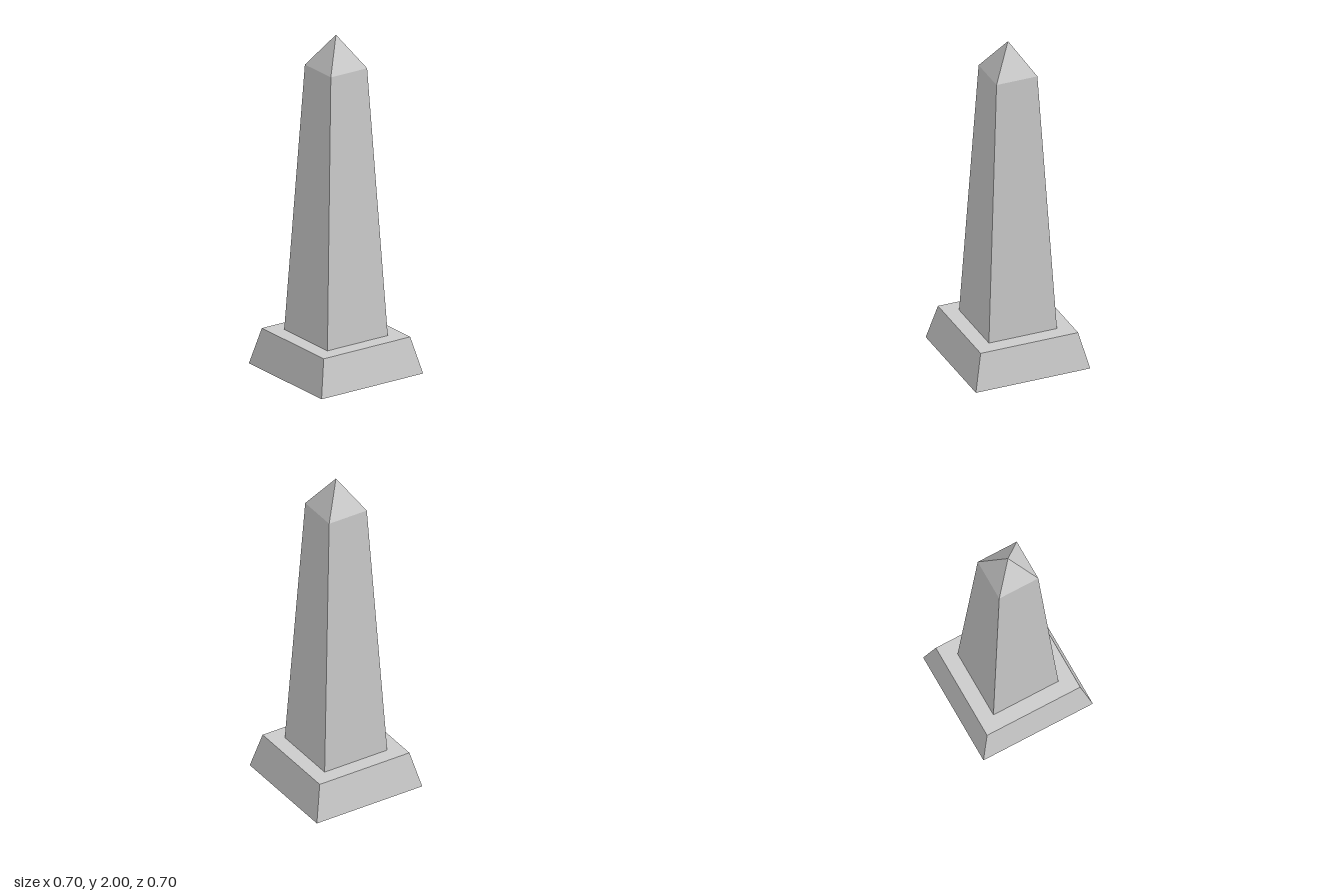
import * as THREE from 'three';

const material = new THREE.MeshStandardMaterial({ color: 0xcccccc, flatShading: true });

// Square tapered block between two heights, given half-widths at bottom and top
function taperedBlock(name, y0, y1, halfBottom, halfTop, openEnded) {
  const geometry = new THREE.CylinderGeometry(
    halfTop * Math.SQRT2, halfBottom * Math.SQRT2, y1 - y0, 4, 1, openEnded);
  geometry.rotateY(Math.PI / 4);
  geometry.translate(0, (y0 + y1) / 2, 0);
  const mesh = new THREE.Mesh(geometry, material);
  mesh.name = name;
  return mesh;
}

export function createModel() {
  const group = new THREE.Group();
  group.name = 'obelisk';
  group.add(
    // Sloped plinth
    taperedBlock('plinth', 0, 0.215, 0.35, 0.298, false),
    // Tall tapering shaft, its ends hidden by plinth and cap
    taperedBlock('shaft', 0.215, 1.81, 0.208, 0.125, true),
    // Pyramid cap
    taperedBlock('pyramidCap', 1.81, 2, 0.125, 0, true)
  );
  return group;
}
